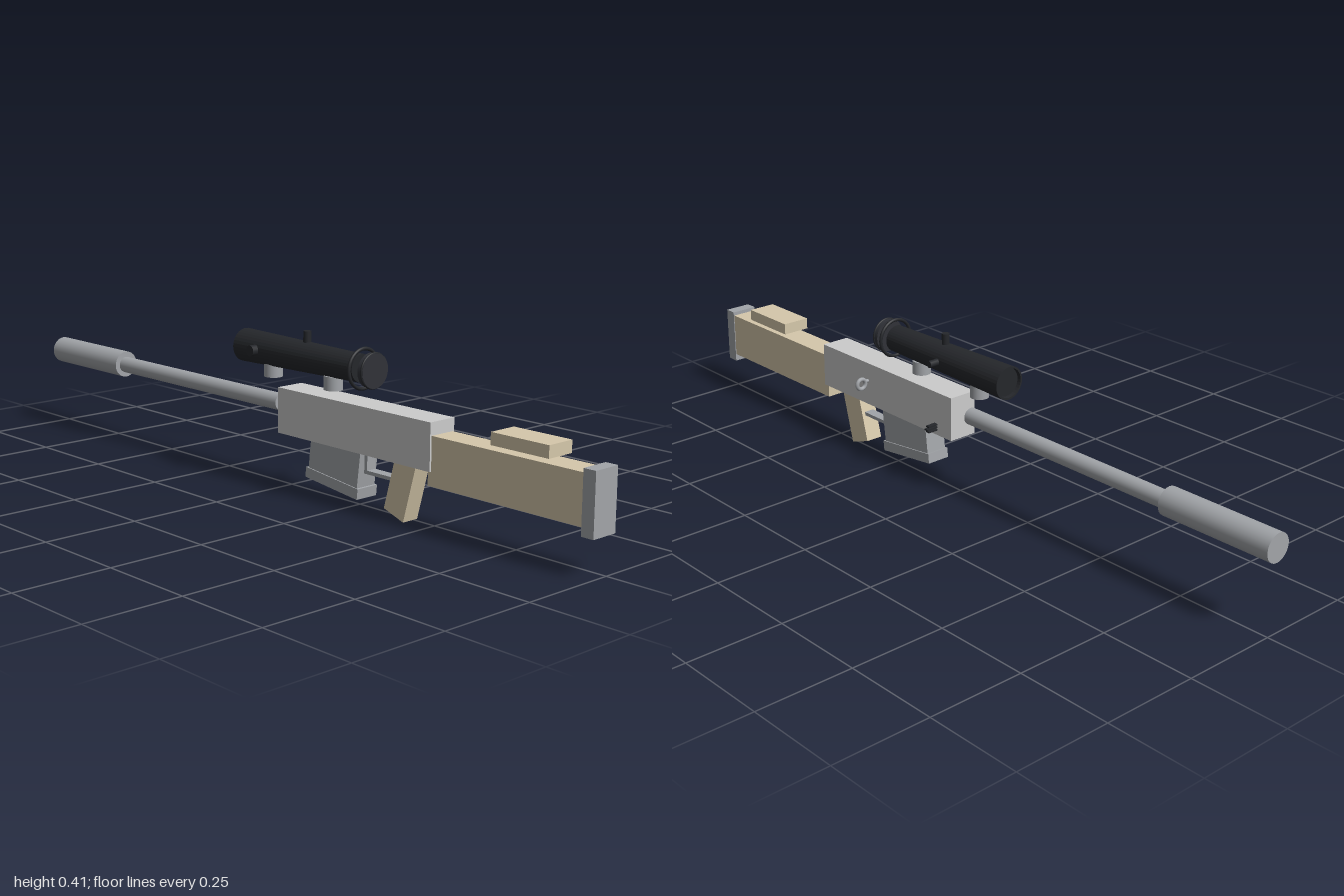
import * as THREE from 'three';

const CX = -0.012; // centre line of the long axis
const mat = (color, side = THREE.FrontSide) => new THREE.MeshStandardMaterial({ color, side });
const receiverMat = mat(0xcccccc);
const steel = mat(0xa2a5a9);
const wood = mat(0xd6c8ab);
const black = mat(0x25272b);
const glass = mat(0x303238);

export function createModel() {
  const model = new THREE.Group();

  const add = (name, geometry, material, x = 0, y = 0, z = 0, parent = model) => {
    const mesh = new THREE.Mesh(geometry, material);
    mesh.name = name;
    mesh.position.set(x, y, z);
    parent.add(mesh);
    return mesh;
  };
  // Box given by its ranges on each axis
  const box = (name, material, [x0, x1], [y0, y1], [z0, z1]) =>
    add(name, new THREE.BoxGeometry(x1 - x0, y1 - y0, z1 - z0), material,
      (x0 + x1) / 2, (y0 + y1) / 2, (z0 + z1) / 2);
  // Cylinder along z from zBack to zFront, with a radius at each end
  const tubeZ = (name, material, y, zBack, zFront, rBack, rFront = rBack) =>
    add(name, new THREE.CylinderGeometry(rBack, rFront, zBack - zFront, 24).rotateX(Math.PI / 2),
      material, CX, y, (zBack + zFront) / 2);
  // Side outline of [z, y] points, extruded across x
  const slab = (name, material, points, width) => {
    const shape = new THREE.Shape(points.map(([z, y]) => new THREE.Vector2(-z, y)));
    const geo = new THREE.ExtrudeGeometry(shape, { depth: width, bevelEnabled: false });
    return add(name, geo.translate(0, 0, -width / 2).rotateY(Math.PI / 2), material, CX);
  };

  // Stock
  box('buttPlate', steel, [-0.049, 0.025], [0.09, 0.24], [0.967, 1]);
  box('stock', wood, [-0.047, 0.023], [0.11, 0.23], [0.52, 0.967]);
  box('cheekRest', wood, [-0.05, 0.027], [0.242, 0.272], [0.71, 0.875]);

  // Receiver, grip and guard
  box('receiver', receiverMat, [-0.052, 0.028], [0.145, 0.262], [0.005, 0.53]);
  slab('grip', wood, [[0.432, 0], [0.368, 0.022], [0.405, 0.16], [0.475, 0.16]], 0.048);
  box('triggerGuardBottom', steel, [CX - 0.014, CX + 0.014], [0.09, 0.099], [0.29, 0.395]);
  box('triggerGuardFront', steel, [CX - 0.014, CX + 0.014], [0.09, 0.15], [0.29, 0.3]);

  // Magazine with its base plate
  slab('magazine', steel, [[0.28, 0.045], [0.108, 0.066], [0.118, 0.15], [0.293, 0.15]], 0.06);
  slab('magazineBase', steel, [[0.284, 0.026], [0.1, 0.048], [0.103, 0.074], [0.287, 0.053]], 0.066);

  // Barrel and suppressor
  tubeZ('barrel', steel, 0.213, -0.025, -0.7, 0.022);
  tubeZ('suppressor', steel, 0.214, -0.69, -1, 0.036);

  // Bolt handle ring and its stem
  add('boltRing', new THREE.TorusGeometry(0.0135, 0.0055, 10, 24), steel, 0.05, 0.207, 0.34);
  add('boltStem', new THREE.CylinderGeometry(0.005, 0.005, 0.02, 10).rotateZ(Math.PI / 2),
    steel, 0.03, 0.212, 0.34);

  // Three small pins on the side
  [[0.16, 0.057], [0.167, 0.062], [0.174, 0.057]].forEach(([y, x1]) =>
    box('sidePin', black, [0.02, x1], [y - 0.002, y + 0.002], [0.057, 0.069]));

  // Scope: tapering shell with recessed lenses
  const scopeY = 0.343;
  const profile = [[0, 0.255], [0.03, 0.255], [0.03, 0.265], [0.035, 0.265],
    [0.043, -0.165], [0.038, -0.165], [0.037, -0.155], [0, -0.155]]
    .map(([r, z]) => new THREE.Vector2(r, z));
  const scopeGeo = new THREE.LatheGeometry(profile, 32).rotateX(Math.PI / 2).toNonIndexed();
  scopeGeo.computeVertexNormals();
  add('scopeBody', scopeGeo, mat(0x25272b, THREE.DoubleSide), CX, scopeY, 0);
  add('eyepieceRing', new THREE.TorusGeometry(0.049, 0.0045, 8, 32), black, CX, scopeY, 0.27);
  add('eyepieceRim', new THREE.TorusGeometry(0.0425, 0.003, 8, 32), black, CX, scopeY, 0.306);
  tubeZ('eyepieceLens', glass, scopeY, 0.31, 0.293, 0.043);

  // Adjustment knobs
  add('topKnob', new THREE.CylinderGeometry(0.01, 0.01, 0.03, 16), black, CX, 0.394, 0.07);
  add('leftKnob', new THREE.CylinderGeometry(0.009, 0.009, 0.03, 16).rotateZ(Math.PI / 2),
    black, 0.038, 0.344, 0.06);
  add('rightKnob', new THREE.CylinderGeometry(0.014, 0.014, 0.025, 16).rotateZ(Math.PI / 2),
    black, -0.057, 0.344, -0.083);

  // Scope mounts
  for (const z of [0.165, -0.057])
    add('scopeMount', new THREE.CylinderGeometry(0.024, 0.024, 0.035, 20), steel, CX, 0.293, z);

  return model;
}
